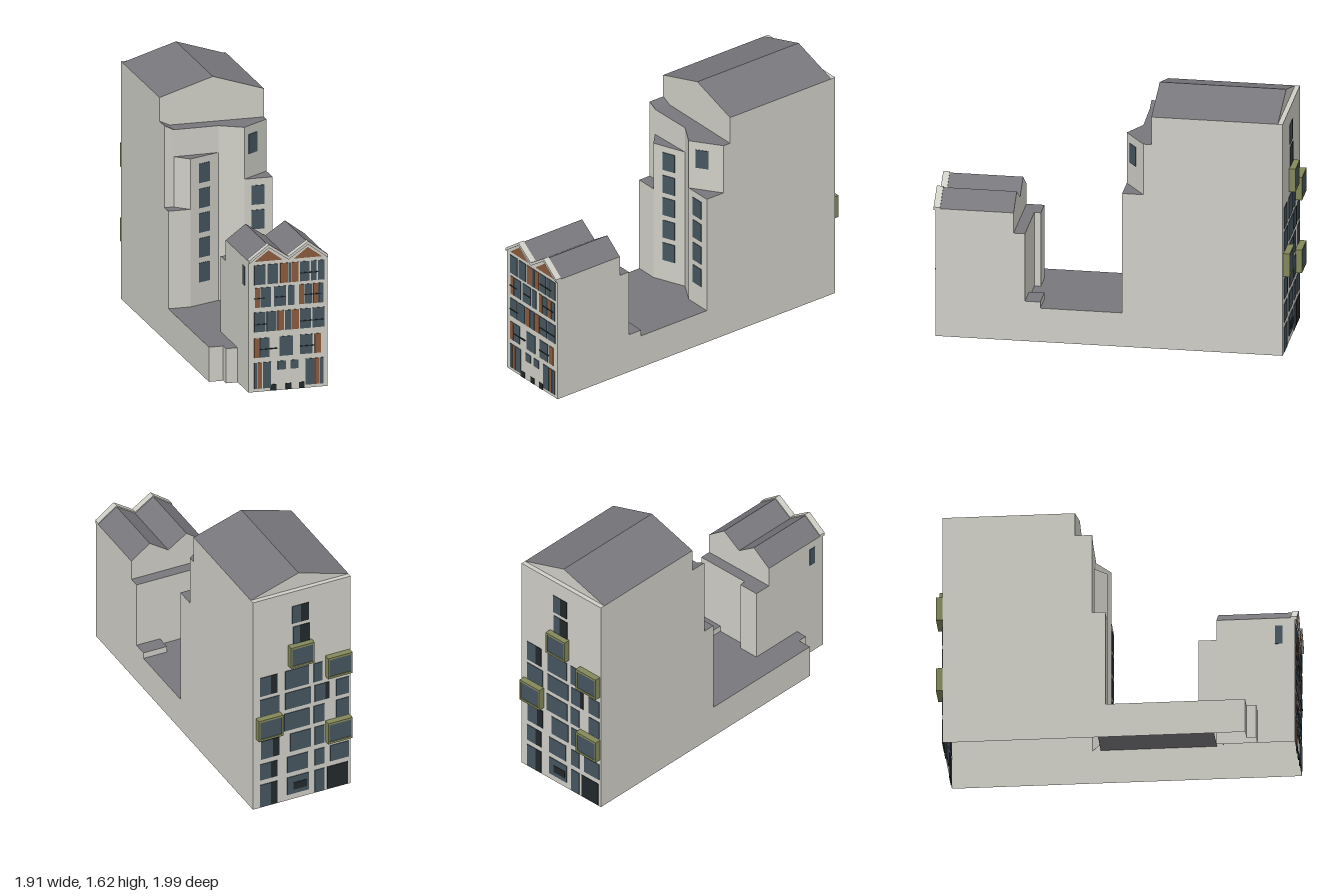
import * as THREE from 'three';

const mat = (name, color) => {
  const m = new THREE.MeshStandardMaterial({ color, side: THREE.DoubleSide });
  m.name = name;
  return m;
};

export function createModel() {
  const wall = mat('pale wall', 0xcfcec6);
  const roof = mat('grey roof', 0x78777c);
  const glass = mat('blue grey glass', 0x465660);
  const dark = mat('dark opening', 0x22292c);
  const brown = mat('brown panel', 0x8a5a3c);
  const olive = mat('olive frame', 0x84885a);

  const model = new THREE.Group();
  model.name = 'building';
  // local frame: +z is the street facade, -z the tower's rear facade
  const site = new THREE.Group();
  site.name = 'site';
  site.rotation.y = 0.695;
  model.add(site);

  const add = (name, geo, material, parent = site) => {
    const m = new THREE.Mesh(geo, material);
    m.name = name;
    parent.add(m);
    return m;
  };
  // flat convex polygons, each a list of [x, y, z]
  const faces = (name, material, polys) => {
    const p = [];
    for (const f of polys)
      for (let i = 1; i < f.length - 1; i++) p.push(...f[0], ...f[i], ...f[i + 1]);
    const g = new THREE.BufferGeometry();
    g.setAttribute('position', new THREE.Float32BufferAttribute(p, 3));
    g.computeVertexNormals();
    return add(name, g, material);
  };
  const cap = (name, pts, y) => {
    const s = new THREE.Shape(pts.map(([x, z]) => new THREE.Vector2(x, -z)));
    return add(name, new THREE.ShapeGeometry(s).rotateX(-Math.PI / 2).translate(0, y, 0), roof);
  };
  // walls along an open plan path, with a flat roof
  const block = (name, pts, y0, y1, topped = true) => {
    const quads = [];
    for (let i = 0; i < pts.length - 1; i++) {
      const [a, b] = [pts[i], pts[i + 1]];
      quads.push([[a[0], y0, a[1]], [b[0], y0, b[1]], [b[0], y1, b[1]], [a[0], y1, a[1]]]);
    }
    faces(name + ' walls', wall, quads);
    if (topped) cap(name + ' roof', pts, y1);
  };
  // thin plate on the wall running from plan point a to b, between fractions t0 and t1
  const plate = (name, material, a, b, t0, t1, y0, y1) => {
    const dx = b[0] - a[0], dz = b[1] - a[1], t = (t0 + t1) / 2;
    const m = add(name, new THREE.BoxGeometry(Math.hypot(dx, dz) * (t1 - t0), y1 - y0, 0.008), material);
    m.position.set(a[0] + dx * t, (y0 + y1) / 2, a[1] + dz * t);
    m.rotation.y = Math.atan2(-dz, dx);
  };

  const L = -0.36, R = 0.305, B = -1.02, T = -0.21;

  // rear tower with pitched roof
  const eave = 1.51, ridge = 1.615, mid = -0.02, G = -0.99;
  block('tower', [[L, T], [L, B], [R, B], [R, T]], 0, eave, false);
  faces('tower gables', wall, [
    [[L, 1.16, T], [R, 1.16, T], [R, eave, T], [mid, ridge, T], [L, eave, T]],
    [[L, eave, G], [R, eave, G], [mid, ridge, G]],
    [[L, eave, B], [R, eave, B], [R, eave, G], [L, eave, G]],
  ]);
  faces('tower roof', roof, [
    [[L, eave, T], [mid, ridge, T], [mid, ridge, G], [L, eave, G]],
    [[mid, ridge, T], [R, eave, T], [R, eave, G], [mid, ridge, G]],
  ]);

  // folded front of the tower
  const bayA = [-0.22, -0.025], bayB = [-0.015, -0.11], fold = [0.125, -0.03], cornerR = [R, -0.16];
  block('tower core', [[L, T], [L, -0.105], [-0.3, -0.105], bayB, fold, cornerR, [R, T]], 0.22, 1.33);
  block('left shoulder', [[L, T], [L, -0.025], bayA, [-0.22, -0.105]], 0.22, 0.84);
  block('window bay', [[-0.3, -0.1], bayA, bayB], 0.22, 1.16);
  block('right shoulder', [fold, [R, -0.03], [R, T]], 0.22, 1.0);
  faces('sloped corner roof', roof, [
    [[L, 1.36, T], [L, 1.36, -0.105], [-0.3, 1.332, -0.105], [-0.3, 1.332, T]]]);
  faces('sloped corner wall', wall, [
    [[L, 1.33, T], [L, 1.33, -0.105], [L, 1.36, -0.105], [L, 1.36, T]],
    [[L, 1.33, -0.105], [-0.3, 1.33, -0.105], [L, 1.36, -0.105]]]);
  [0.363, 0.52, 0.678, 0.834, 0.994].forEach((y, i) => {
    plate('bay window', glass, bayA, bayB, 0.3, 0.68, y, y + 0.122);
    if (i < 4) plate('shoulder window', glass, [0.125, -0.03], [R, -0.03], 0.25, 0.7, y, y + 0.122);
  });
  plate('corner window', glass, fold, cornerR, 0.2, 0.57, 1.15, 1.275);

  // low podium joining tower and street house
  const podium = [[L, T], [L, 0.83], [-0.27, 0.83], [-0.27, 0.89], [-0.196, 0.89]];
  block('podium', podium, 0, 0.22, false);
  block('podium right', [[R, T], [R, 0.65]], 0, 0.22, false);
  cap('podium roof', [[L, -0.11], ...podium.slice(1), [-0.196, 0.6], [R, 0.6], [R, -0.11]], 0.22);

  // street house with twin gables
  const HL = -0.196, F = 1.12, K = 0.64;
  const zig = [[HL, 0.832], [-0.07, 0.925], [0.054, 0.84], [0.18, 0.925], [R, 0.832]];
  block('house', [[HL, K], [HL, F], [R, F], [R, K]], 0, 0.832, false);
  block('house back', [[HL, K], [R, K]], 0.22, 0.832, false);
  block('house rear step', [[HL, K], [HL, 0.53], [-0.06, 0.53], [-0.06, 0.57], [R, 0.57], [R, K]], 0.22, 0.7);
  block('low rear step', [[0.145, 0.57], [0.145, 0.475], [R, 0.475], [R, 0.57]], 0.22, 0.26);
  const slopes = [], gables = [];
  for (let i = 0; i < 4; i++) {
    const [a, b] = [zig[i], zig[i + 1]];
    slopes.push([[...a, K], [...b, K], [...b, F], [...a, F]]);
    for (const z of [K, F]) gables.push([[a[0], 0.83, z], [b[0], 0.83, z], [...b, z], [...a, z]]);
  }
  faces('house roof', roof, slopes);
  faces('house gables', wall, gables);

  // pale coping along the gables and brown panels beneath
  const coping = new THREE.Shape([
    ...zig.map(([x, y]) => new THREE.Vector2(x, y - 0.012)),
    ...zig.map(([x, y]) => new THREE.Vector2(x, y + 0.008)).reverse(),
  ]);
  add('gable coping', new THREE.ExtrudeGeometry(coping, { depth: 0.04, bevelEnabled: false }).translate(0, 0, 1.093), wall);
  for (const x of [-0.07, 0.18])
    faces('gable panel', brown, [[[x - 0.09, 0.828, F + 0.004], [x + 0.09, 0.828, F + 0.004], [x, 0.895, F + 0.004]]]);

  // street facade: [material, start, end] as percent of the width
  const rows = [
    [0.68, 0.805, [[glass, 7, 21], [glass, 24, 37], [brown, 40, 50], [glass, 50.5, 54], [brown, 55, 63], [glass, 65, 77], [glass, 79, 86], [glass, 88, 96]]],
    [0.535, 0.66, [[brown, 8, 14], [glass, 15, 28], [glass, 32, 47], [glass, 50, 58], [brown, 64, 70], [glass, 71, 80], [brown, 82, 88], [glass, 89, 95]]],
    [0.38, 0.505, [[glass, 7, 21], [glass, 23, 35], [brown, 37, 45], [glass, 46, 54], [brown, 55, 64], [glass, 65, 79], [glass, 81, 96]]],
    [0.217, 0.34, [[brown, 7, 13], [glass, 14, 26], [glass, 39, 56], [glass, 65, 81], [brown, 84, 92]]],
    [0.02, 0.185, [[glass, 7, 11], [brown, 12, 17], [glass, 18, 28], [glass, 72, 83], [brown, 84, 89], [glass, 90, 95]]],
    [0.13, 0.185, [[glass, 37, 47], [glass, 53, 63]]],
    [0.001, 0.04, [[dark, 28, 35], [dark, 47, 54], [dark, 64, 71]]],
    [0.73, 0.736, [[dark, 66, 88]]],
    [0.59, 0.596, [[dark, 7, 20], [dark, 34, 47], [dark, 71, 92]]],
    [0.425, 0.431, [[dark, 7, 22], [dark, 66, 95]]],
    [0.265, 0.271, [[dark, 14, 36], [dark, 65, 83]]],
  ];
  rows.forEach(([y0, y1, cells], i) => {
    const z = i > 6 ? F + 0.004 : F;
    for (const [m, a, b] of cells)
      plate(m === brown ? 'facade panel' : m === dark ? 'railing or door' : 'facade window', m, [HL, z], [R, z], a / 100, b / 100, y0, y1);
  });
  plate('side window', glass, [HL, 0], [HL, 1], 1.0, 1.045, 0.66, 0.78);

  // rear facade, percent measured from the +x end
  const rear = [
    [1.28, 1.405, [[glass, 40, 49], [dark, 49, 57]]],
    [1.13, 1.255, [[glass, 41, 48], [dark, 48, 58]]],
    [0.81, 0.945, [[glass, 7, 18], [dark, 18, 25], [glass, 33, 57], [glass, 62, 71]]],
    [0.665, 0.785, [[glass, 7, 27], [glass, 33, 59], [glass, 63, 74], [dark, 74, 78], [glass, 85, 98]]],
    [0.51, 0.635, [[glass, 32, 58], [glass, 62, 73], [glass, 85, 98]]],
    [0.35, 0.48, [[glass, 8, 20], [dark, 20, 27], [glass, 38, 59], [glass, 63, 73]]],
    [0.2, 0.315, [[glass, 7, 18], [dark, 18, 25], [glass, 35, 56], [glass, 63, 73], [glass, 79, 98]]],
    [0.005, 0.165, [[glass, 7, 18], [dark, 18, 25], [glass, 63, 73], [dark, 76, 97]]],
    [0.04, 0.165, [[glass, 35, 57]]],
  ];
  for (const [y0, y1, cells] of rear)
    for (const [m, a, b] of cells) plate('rear window', m, [R, B], [L, B], a / 100, b / 100, y0, y1);
  plate('rear entrance', dark, [R, B - 0.003], [L, B - 0.003], 0.41, 0.55, 0.07, 0.12);

  // projecting rear balconies: olive frame around a glazed front
  for (const [a, b, y] of [[0.36, 0.6, 0.98], [0.74, 0.99, 0.83], [0.03, 0.28, 0.51], [0.74, 0.99, 0.355]]) {
    const w = (b - a) * (R - L), x = R - (a + b) / 2 * (R - L);
    const box = new THREE.Group();
    box.name = 'balcony';
    box.position.set(x, y + 0.075, B - 0.02);
    site.add(box);
    for (const s of [-1, 1]) {
      add('balcony slab', new THREE.BoxGeometry(w, 0.014, 0.042), olive, box).position.y = s * 0.068;
      add('balcony side', new THREE.BoxGeometry(0.01, 0.13, 0.042), olive, box).position.x = s * (w / 2 - 0.005);
    }
    add('balcony glass', new THREE.BoxGeometry(w - 0.02, 0.122, 0.008), glass, box).position.z = -0.012;
  }
  return model;
}
